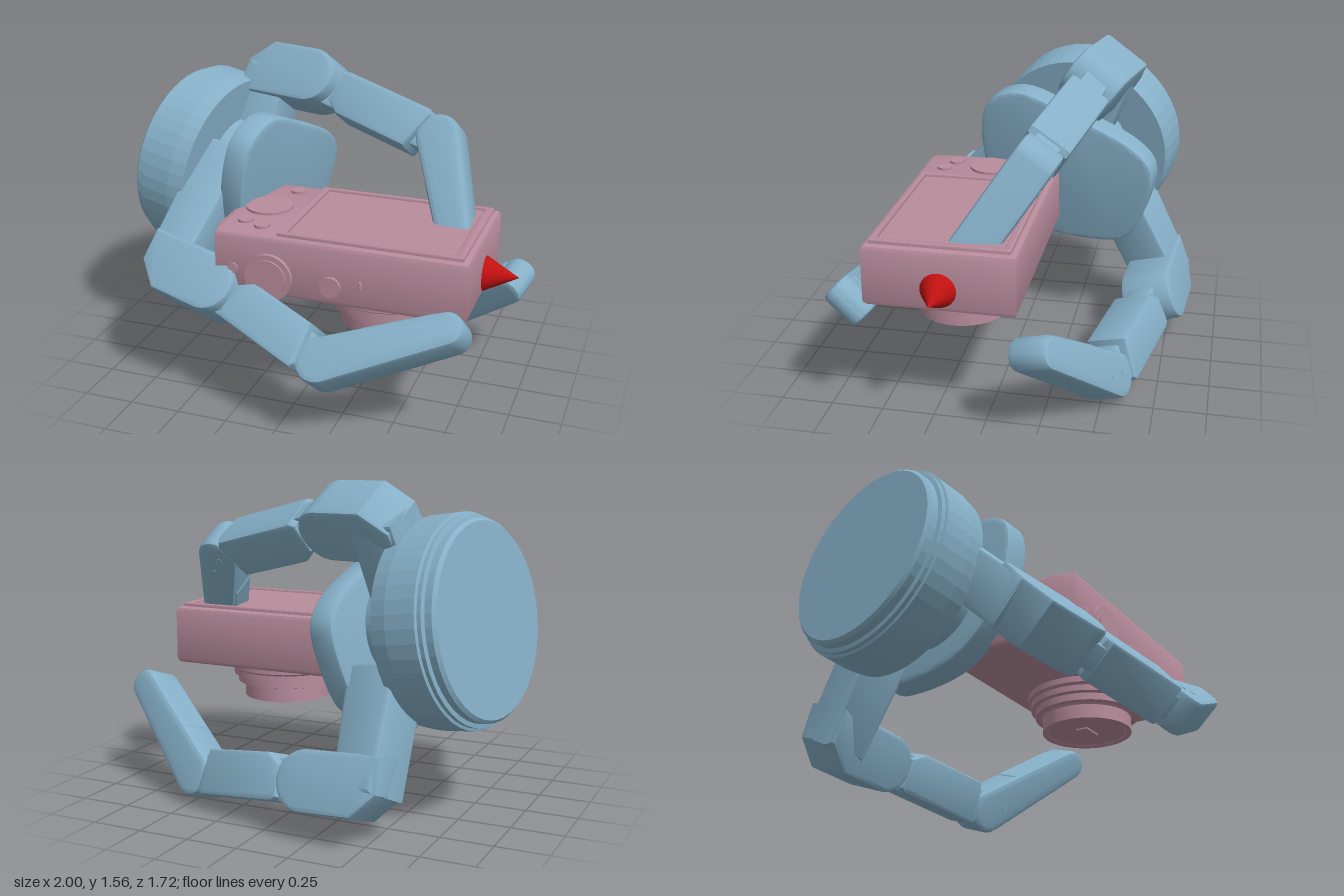
import * as THREE from 'three';
import { toCreasedNormals } from 'three/addons/utils/BufferGeometryUtils.js';
import { RoundedBoxGeometry } from 'three/addons/geometries/RoundedBoxGeometry.js';

const V = (x, y, z) => new THREE.Vector3(x, y, z);
const blue = new THREE.MeshStandardMaterial({ color: 0x86b0c8 });
const pink = new THREE.MeshStandardMaterial({ color: 0xb88c9c });
const red = new THREE.MeshStandardMaterial({ color: 0xc01010 });

function part(parent, name, geo, mat, x = 0, y = 0, z = 0) {
  const m = new THREE.Mesh(geo, mat);
  m.name = name;
  m.position.set(x, y, z);
  parent.add(m);
  return m;
}

// Extruded solid centred on its depth; the bevel stays inside the given size
function slab(shape, depth, bevel = 0.02) {
  const g = new THREE.ExtrudeGeometry(shape, {
    depth: depth - 2 * bevel, bevelEnabled: true, bevelSize: bevel, bevelThickness: bevel,
    bevelOffset: -bevel, bevelSegments: 2, curveSegments: 12,
  });
  g.translate(0, 0, -depth / 2 + bevel);
  return toCreasedNormals(g, 0.5);
}

const polygon = pts => new THREE.Shape(pts.map(p => new THREE.Vector2(...p)));

// Outline around two circles joined by tangents
function taper(len, r1, r2) {
  const a = Math.acos((r1 - r2) / len), s = new THREE.Shape();
  s.absarc(0, 0, r1, a, 2 * Math.PI - a, false);
  s.absarc(len, 0, r2, -a, a, false);
  s.closePath();
  return s;
}

// Group whose x runs from p to q, z follows the hinge and y points to the curling side
function frame(parent, name, p, q, hinge) {
  const u = q.clone().sub(p).normalize();
  const w = hinge.clone().addScaledVector(u, -hinge.dot(u)).normalize();
  const g = new THREE.Group();
  g.name = name;
  g.quaternion.setFromRotationMatrix(new THREE.Matrix4().makeBasis(u, w.clone().cross(u), w));
  g.position.copy(p);
  parent.add(g);
  return g;
}

// One finger: arm from the hub, knuckle block, middle link, tapered fingertip
function finger(parent, name, hub, j0, j1, j2, tip) {
  const f = new THREE.Group();
  f.name = name;
  parent.add(f);
  const hinge = j2.clone().sub(j1).cross(tip.clone().sub(j2)).normalize();

  const armLen = hub.distanceTo(j0);
  const arm = frame(f, 'arm', hub, j0, hinge);
  part(arm, 'armBar', slab(polygon([[-0.08, -0.13], [armLen + 0.04, -0.1], [armLen + 0.04, 0.12], [-0.08, 0.13]]), 0.25), blue);

  const L0 = j0.distanceTo(j1);
  const base = frame(f, 'knuckle', j0, j1, hinge);
  const s = polygon([[-0.11, 0.14], [-0.1, -0.03], [0.02, -0.14], [L0, -0.14]]);
  s.absarc(L0, 0, 0.14, -Math.PI / 2, Math.PI / 2, false);
  part(base, 'knuckleBlock', slab(s, 0.26), blue);

  const L1 = j1.distanceTo(j2);
  const mid = frame(f, 'middleLink', j1, j2, hinge);
  part(mid, 'middleNeck', slab(taper(L1, 0.1, 0.09), 0.13, 0.01), blue);
  const a = L1 * 0.2, b = L1 * 0.9;
  part(mid, 'middleBody', slab(polygon([[a, -0.08], [a + 0.03, -0.1], [b - 0.02, -0.1], [b, -0.07],
    [b - 0.05, 0.12], [a + 0.07, 0.12], [a, 0.07]]), 0.22), blue);

  const L2 = j2.distanceTo(tip);
  const end = frame(f, 'fingertip', j2, tip, hinge);
  part(end, 'fingertipShell', slab(taper(L2, 0.108, 0.078), 0.2, 0.025), blue);
  part(end, 'gripPad', new RoundedBoxGeometry(L2 * 0.6, 0.05, 0.16, 2, 0.015), blue, L2 * 0.66, 0.068, 0)
    .rotation.z = -0.05;
  for (const x of [0.0, 0.09]) {
    const screw = part(end, 'screw', new THREE.CylinderGeometry(0.018, 0.018, 0.204, 12), blue, x, 0.02 - x * 0.4);
    screw.rotation.x = Math.PI / 2;
  }
}

function buildHand(root) {
  const hand = new THREE.Group();
  hand.name = 'gripper';
  root.add(hand);
  const axis = V(0.965, -0.15, 0.2).normalize();
  const up = V(0, 1, 0).addScaledVector(axis, -axis.y).normalize();
  const side = up.clone().cross(axis);

  // Wrist disc and hub, turned about the tilted axis
  const wrist = new THREE.Group();
  wrist.name = 'wrist';
  wrist.quaternion.setFromUnitVectors(V(0, 1, 0), axis);
  wrist.position.set(-0.892, 0.942, -0.285);
  hand.add(wrist);
  const profile = [[0, 0], [0.44, 0], [0.455, 0.015], [0.455, 0.05], [0.475, 0.055], [0.475, 0.075],
    [0.488, 0.08], [0.488, 0.23], [0.475, 0.31], [0, 0.31]].map(p => new THREE.Vector2(...p));
  part(wrist, 'wristDisc', toCreasedNormals(new THREE.LatheGeometry(profile, 48), 0.1), blue);
  part(wrist, 'hub', toCreasedNormals(new THREE.CylinderGeometry(0.24, 0.28, 0.26, 32), 0.5), blue, 0, 0.42, 0);

  // Palm pad with a rounded, uneven outline
  const outline = [[-0.47, 0.12], [-0.42, 0.31], [-0.25, 0.39], [0.05, 0.29], [0.36, 0.15], [0.45, 0.04], [0.42, -0.16],
    [0.31, -0.37], [0.18, -0.41], [-0.2, -0.38], [-0.4, -0.2]].map(p => V(p[0], p[1], 0));
  const curve = new THREE.CatmullRomCurve3(outline, true);
  const pts = curve.getPoints(66).slice(0, -1).map(p => [p.x, p.y]);
  const pad = part(hand, 'palmPad', slab(polygon(pts), 0.13, 0.02), blue, -0.33, 0.89, -0.21);
  pad.quaternion.setFromRotationMatrix(new THREE.Matrix4().makeBasis(side, up, axis));

  // The upper fingertip presses into the screen
  finger(hand, 'upperFinger', V(-0.5, 1.02, -0.27), V(-0.44, 1.365, -0.41), V(-0.18, 1.36, -0.35),
    V(0.52, 1.18, -0.17), V(0.7, 0.74, 0.13));
  finger(hand, 'lowerFinger', V(-0.48, 0.65, -0.5), V(-0.5, 0.24, -0.705), V(-0.23, 0.22, -0.68),
    V(0.46, 0.115, -0.51), V(0.9, 0.452, -0.255));
  finger(hand, 'frontFinger', V(-0.54, 0.98, 0), V(-0.66, 0.575, 0.42), V(-0.39, 0.54, 0.49),
    V(0.23, 0.365, 0.72), V(0.78, 0.565, 0.612));
}

function rect(x0, z0, x1, z1) {
  return [[x0, -z1], [x1, -z1], [x1, -z0], [x0, -z0]];
}

function buildCamera(root) {
  const cam = new THREE.Group();
  cam.name = 'camera';
  root.add(cam);
  // Body with a cut front corner
  part(cam, 'cameraBody', slab(polygon([[-0.37, -0.54], [0.83, -0.54], [0.83, 0.16], [-0.4, 0.16], [-0.4, -0.44]]), 0.295, 0.025),
    pink, 0, 0.7175, 0).rotation.x = -Math.PI / 2;
  // Raised screen frame and screen
  const border = polygon(rect(-0.07, -0.13, 0.8, 0.51));
  border.holes.push(new THREE.Path(rect(-0.035, -0.105, 0.765, 0.485).map(p => new THREE.Vector2(...p))));
  part(cam, 'screenFrame', slab(border, 0.03, 0.004), pink, 0, 0.867, 0).rotation.x = -Math.PI / 2;
  part(cam, 'screen', new THREE.BoxGeometry(0.78, 0.012, 0.57), pink, 0.365, 0.867, 0.19);
  // Dial and buttons on the upper face
  for (const [x, z, r] of [[-0.24, 0.18, 0.115], [-0.18, -0.06, 0.038], [-0.28, 0.38, 0.038], [-0.18, 0.42, 0.038]])
    part(cam, 'button', new THREE.CylinderGeometry(r, r, 0.02, 32), pink, x, 0.867, z);
  // Round controls on the front edge
  for (const [x, y, r, d] of [[-0.1, 0.67, 0.115, 0.04], [-0.1, 0.67, 0.09, 0.06], [0.2, 0.665, 0.05, 0.03], [-0.28, 0.69, 0.025, 0.02]])
    part(cam, 'frontDial', new THREE.CylinderGeometry(r, r, d, 32), pink, x, y, 0.54).rotation.x = Math.PI / 2;
  part(cam, 'frontSlot', new RoundedBoxGeometry(0.018, 0.045, 0.02, 2, 0.008), pink, 0.34, 0.69, 0.537);
  // Stepped lens barrel below
  const barrel = [[0, 0.39], [0.19, 0.39], [0.2, 0.38], [0.222, 0.38], [0.222, 0.45], [0.23, 0.46], [0.258, 0.46], [0.258, 0.495],
    [0.28, 0.5], [0.28, 0.53], [0.295, 0.54], [0.295, 0.585]].map(p => new THREE.Vector2(...p));
  part(cam, 'lens', toCreasedNormals(new THREE.LatheGeometry(barrel, 48), 0.4), pink, 0.37, 0, 0.19);
  part(cam, 'lensShutter', new THREE.BoxGeometry(0.12, 0.012, 0.06), pink, 0.37, 0.388, 0.19);
  // Arrow head on the end face
  part(root, 'arrowCone', new THREE.ConeGeometry(0.083, 0.16, 24), red, 0.915, 0.68, 0.19).rotation.z = -Math.PI / 2;
}

export function createModel() {
  const root = new THREE.Group();
  root.name = 'gripperHoldingCamera';
  buildHand(root);
  buildCamera(root);
  return root;
}
